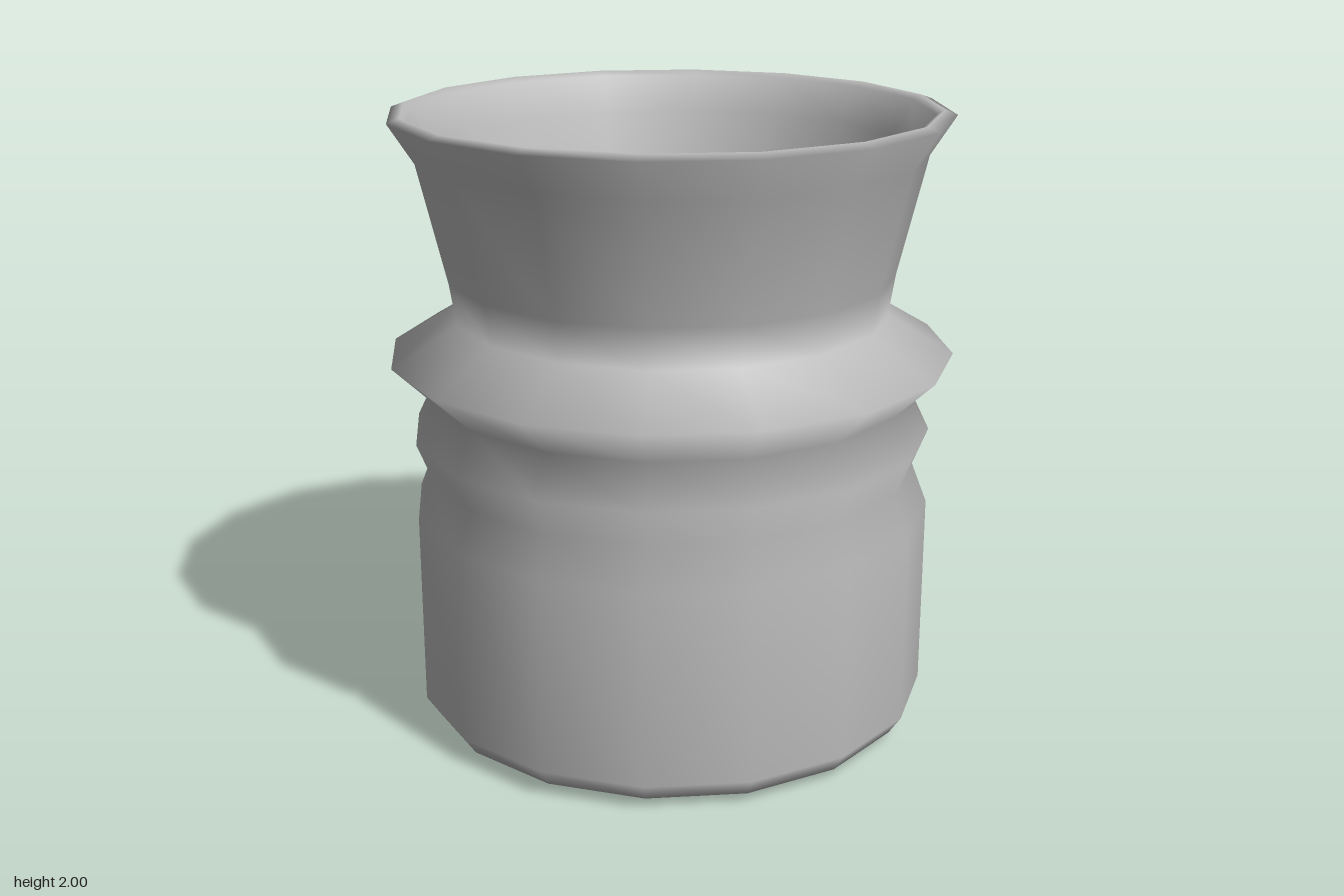
import * as THREE from 'three';

export function createModel() {
  const group = new THREE.Group();
  const grey = new THREE.MeshStandardMaterial({ color: 0xbcbcbc });
  grey.name = 'grey';

  // Closed wall profile [radius, height]: hole, underside, outside, rim, inside, floor
  const profile = [
    [0.158, 0.035],
    [0.158, 0.008], [0.2, 0.0], [0.8, 0.03],
    [0.84, 0.09], [0.84, 0.72],
    // bellows rings and sharp flange
    [0.79, 0.85], [0.838, 0.97], [0.775, 1.1], [0.905, 1.225], [0.695, 1.35],
    // flared neck
    [0.715, 1.48], [0.805, 1.86],
    // rounded rim
    [0.885, 1.985], [0.845, 2.0], [0.82, 1.985],
    // inner surface
    [0.75, 1.87], [0.655, 1.48], [0.63, 1.33], [0.8, 1.225],
    [0.71, 1.1], [0.77, 0.97], [0.73, 0.85], [0.78, 0.72],
    [0.78, 0.11], [0.76, 0.09],
    [0.158, 0.06], [0.158, 0.035],
  ].map(([r, y]) => new THREE.Vector2(r, y));

  const vessel = new THREE.Mesh(new THREE.LatheGeometry(profile, 16), grey);
  vessel.name = 'flaredVessel';
  group.add(vessel);
  return group;
}
